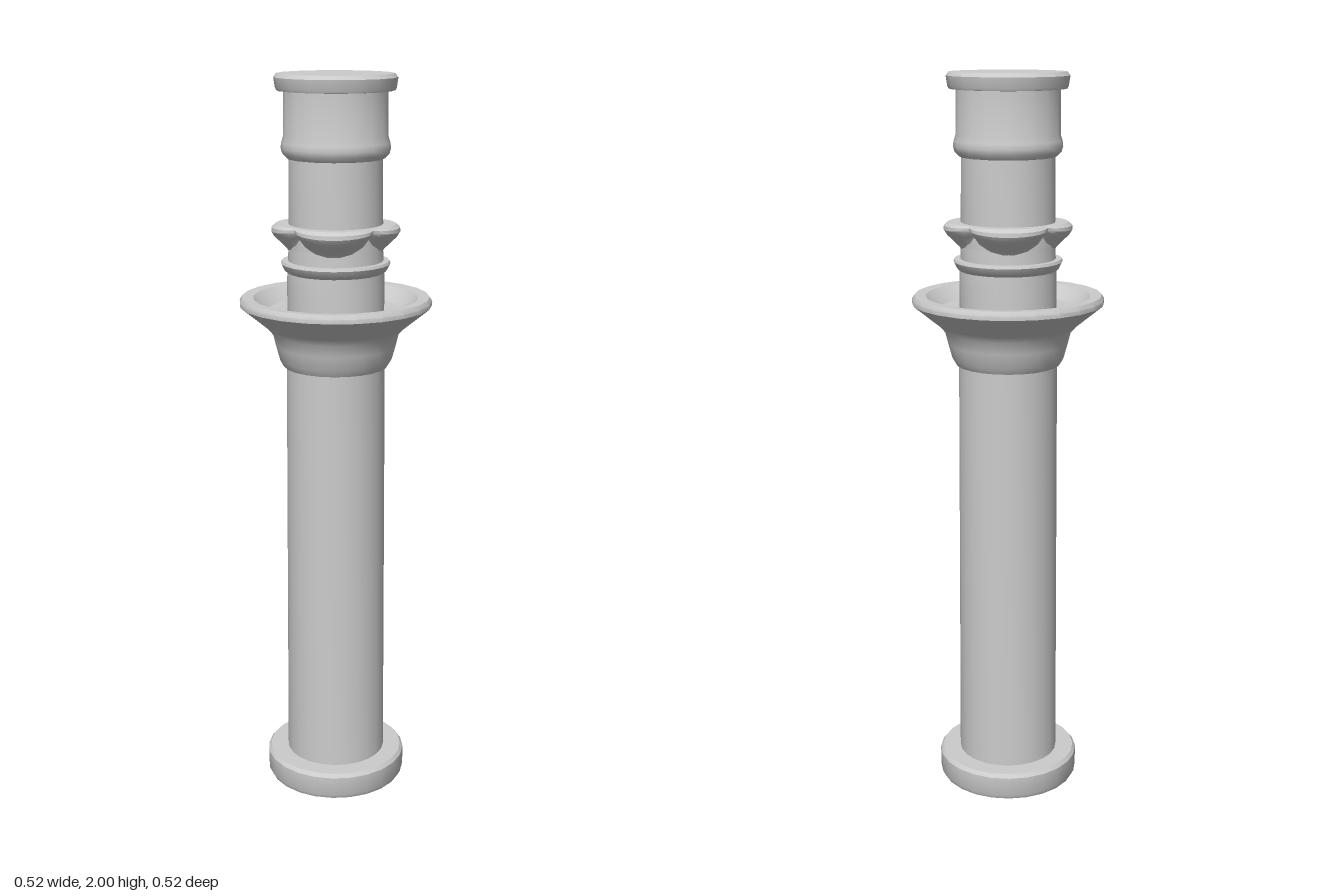
import * as THREE from 'three';
import { toCreasedNormals } from 'three/addons/utils/BufferGeometryUtils.js';

const material = new THREE.MeshStandardMaterial({ color: 0xcccccc });
const openMaterial = new THREE.MeshStandardMaterial({ color: 0xcccccc, side: THREE.DoubleSide });

export function createModel() {
  const model = new THREE.Group();

  const lathe = (points, sides) =>
    new THREE.LatheGeometry(points.map(([r, y]) => new THREE.Vector2(r, y)), sides);

  const add = (name, geometry, mat = material) => {
    const mesh = new THREE.Mesh(toCreasedNormals(geometry, 0.6), mat);
    mesh.name = name;
    model.add(mesh);
  };

  // Foot with a stepped hollow underneath
  add('base', lathe([
    [0, 0.08], [0.1, 0.08], [0.12, 0.03], [0.15, 0.03], [0.16, 0.01], [0.175, 0.01],
    [0.18, 0], [0.192, 0], [0.198, 0.012], [0.198, 0.066], [0.19, 0.076], [0.13, 0.076],
  ], 24));

  // Long, slightly tapered shaft
  add('shaft', lathe([[0.14, 0.07], [0.134, 1.23]], 24), openMaterial);

  // Dished flange on a rounded cup
  add('flange', lathe([
    [0.125, 1.225], [0.142, 1.227], [0.153, 1.245], [0.164, 1.285], [0.172, 1.318],
    [0.188, 1.336], [0.248, 1.385], [0.26, 1.395], [0.26, 1.406], [0.253, 1.417],
    [0.223, 1.415], [0.205, 1.397], [0.183, 1.38], [0.12, 1.378],
  ], 24));

  // Neck with a thin ring
  add('neck', lathe([
    [0.131, 1.37], [0.131, 1.455], [0.13, 1.484], [0.138, 1.49], [0.147, 1.508],
    [0.144, 1.515], [0.128, 1.515], [0.126, 1.56],
  ], 24), openMaterial);

  // Collar with four drooping lobes
  const collar = lathe([
    [0.122, 1.535], [0.131, 1.548], [0.148, 1.565], [0.164, 1.58],
    [0.172, 1.593], [0.171, 1.604], [0.16, 1.613], [0.118, 1.613],
  ], 48);
  const p = collar.attributes.position;
  for (let i = 0; i < p.count; i++) {
    const x = p.getX(i), y = p.getY(i), z = p.getZ(i);
    const r = Math.hypot(x, z);
    const lobe = Math.pow(Math.abs(Math.cos(2 * Math.atan2(x, z))), 0.7);
    const newR = 0.118 + (r - 0.118) * (0.5 + 0.5 * lobe);
    const lift = (1 - lobe) * (1.613 - y) * 0.5;
    p.setXYZ(i, x * newR / r, y + lift, z * newR / r);
  }
  add('lobedCollar', collar);

  // Upper stem
  add('upperStem', lathe([[0.127, 1.55], [0.124, 1.79]], 24), openMaterial);

  // Thicker sleeve under the cap
  add('sleeve', lathe([
    [0.115, 1.782], [0.13, 1.784], [0.141, 1.796], [0.145, 1.81], [0.143, 1.825],
    [0.138, 1.84], [0.137, 1.965],
  ], 16));

  // Bevelled cap
  add('cap', lathe([
    [0.13, 1.955], [0.155, 1.957], [0.158, 1.964], [0.162, 1.99], [0.154, 2], [0, 2],
  ], 16));

  return model;
}
